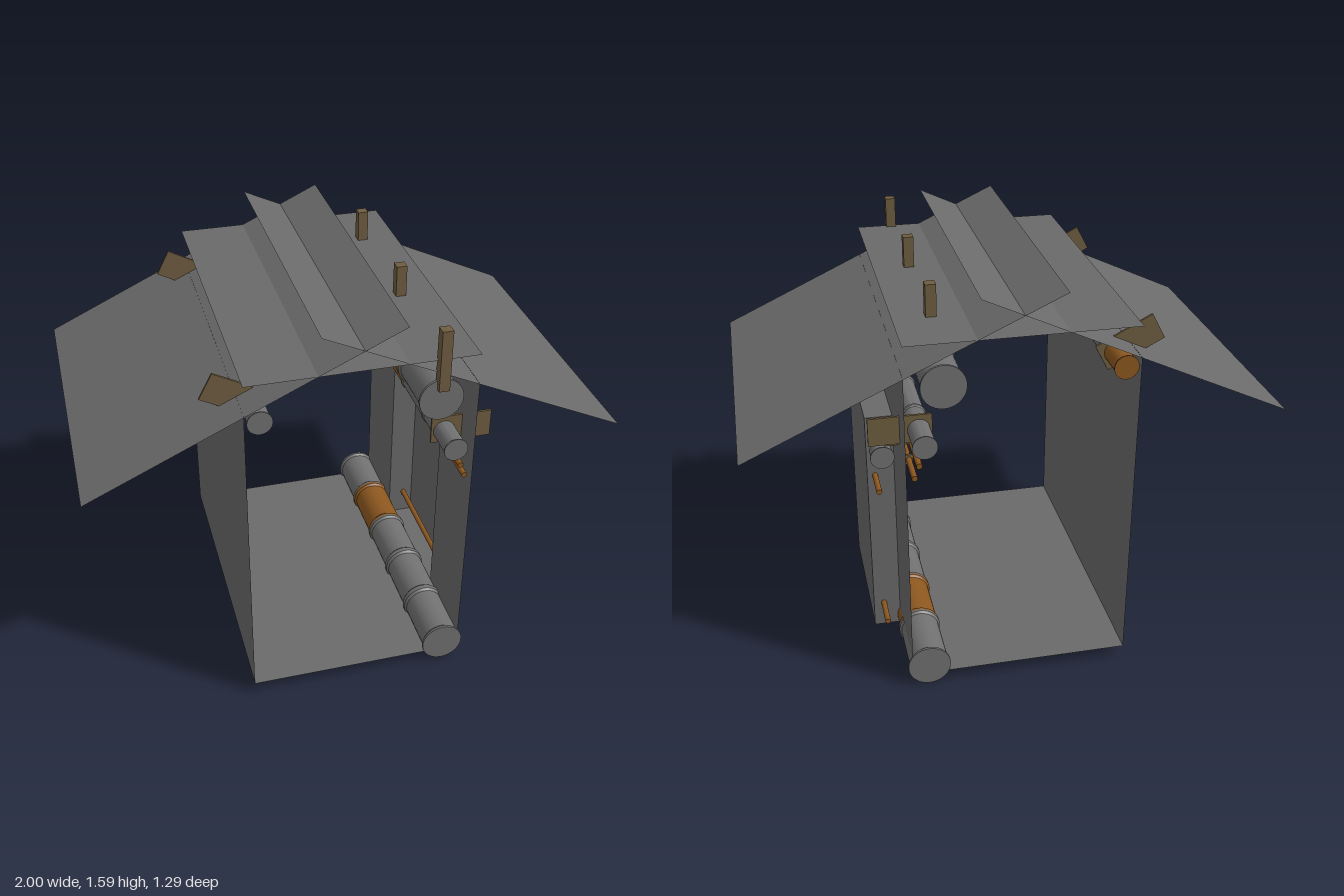
import * as THREE from 'three';
import { toCreasedNormals } from 'three/addons/utils/BufferGeometryUtils.js';

const Z0 = -0.645, Z1 = 0.625, MID = (Z0 + Z1) / 2, LEN = Z1 - Z0;

export function createModel() {
  const model = new THREE.Group();
  model.name = 'corridorSection';
  const make = (name, color) => {
    const m = new THREE.MeshStandardMaterial({ color });
    m.name = name;
    return m;
  };
  const panel = make('panelGrey', 0x6a6a6a);
  panel.side = THREE.DoubleSide;
  const metal = make('pipeGrey', 0x707070);
  const copper = make('copper', 0x8c571f);
  const brown = make('bracketBrown', 0x6f5d40);

  const add = (name, geo, mat, x = 0, y = 0, z = 0) => {
    const mesh = new THREE.Mesh(geo, mat);
    mesh.name = name;
    mesh.position.set(x, y, z);
    model.add(mesh);
    return mesh;
  };

  // Thin sheet: the line a-b in the xy plane swept along z
  const sheet = (name, [ax, ay], [bx, by], z0 = Z0, z1 = Z1) => {
    const g = new THREE.BufferGeometry();
    g.setAttribute('position', new THREE.Float32BufferAttribute(
      [ax, ay, z1, bx, by, z1, bx, by, z0, ax, ay, z0], 3));
    g.setIndex([0, 1, 2, 0, 2, 3]);
    g.computeVertexNormals();
    return add(name, g, panel);
  };

  // Shell: floor, ceiling, crossing roof sheets and the plain wall
  const W = 0.425, FLOOR = 0.05, EAVE = 1.323;
  sheet('floor', [-W, FLOOR], [W, FLOOR]);
  sheet('ceiling', [-W, 1.443], [W, 1.443]);
  sheet('rightRoof', [-1, 1.055], [0.153, 1.59]);
  sheet('leftRoof', [-0.153, 1.59], [1, 1.055]);
  sheet('rightWall', [-W, EAVE], [-W, FLOOR]);

  // Wall with an opening into the bay
  const B0 = -0.3, B1 = 0.285, BT = 1.01, BX = 0.53;
  const outline = [[Z0, FLOOR], [B0, FLOOR], [B0, BT], [B1, BT], [B1, FLOOR],
    [Z1, FLOOR], [Z1, EAVE], [Z0, EAVE]];
  const wallShape = new THREE.Shape(outline.map(([z, y]) => new THREE.Vector2(-z, y)));
  add('leftWall', new THREE.ShapeGeometry(wallShape).rotateY(Math.PI / 2), panel, W);

  // Bay recess
  sheet('bayBack', [BX, FLOOR], [BX, BT], B0, B1);
  sheet('bayTop', [BX, BT], [W, BT], B0, B1);
  sheet('bayBottom', [W, FLOOR], [BX, FLOOR], B0, B1);
  for (const z of [B0, B1]) {
    add('baySide', new THREE.PlaneGeometry(BX - W, BT - FLOOR), panel,
      (W + BX) / 2, (FLOOR + BT) / 2, z);
  }

  // Pipes made of flanged segments, running from front to back
  const segment = (R, len) => {
    const r = R * 0.91, f = R * 0.12;
    const pts = [[0, 0], [R, 0], [R, f], [r, f * 2], [r, len - f * 2],
      [R, len - f], [R, len], [0, len]].map(([a, b]) => new THREE.Vector2(a, b));
    return toCreasedNormals(new THREE.LatheGeometry(pts, 32), 0.5).rotateX(Math.PI / 2);
  };
  const pipe = (name, x, y, R, stops, coppers = []) => {
    for (let i = 0; i + 1 < stops.length; i++) {
      add(name, segment(R, stops[i] - stops[i + 1]),
        coppers.includes(i) ? copper : metal, x, y, stops[i + 1]);
    }
  };
  const five = [0, 1, 2, 3, 4, 5].map((i) => Z1 - i * LEN / 5);
  pipe('floorPipe', 0.36, 0.084, 0.083, five, [3]);
  pipe('roofPipe', 0.285, 1.28, 0.083, five);
  pipe('wallPipe', 0.355, 1.05, 0.046, five, [2]);
  pipe('eavePipe', -0.37, 1.29, 0.046, [Z1, 0.4, 0.25, 0.1, -0.04, -0.18, -0.46, Z0], [1, 3, 4, 6]);
  pipe('bayPipe', 0.475, 0.865, 0.046, [0.345, -0.36]);

  // Copper rods
  const rod = (x, y, z0, z1) => add('rod',
    new THREE.CylinderGeometry(0.011, 0.011, z1 - z0, 16).rotateX(Math.PI / 2),
    copper, x, y, (z0 + z1) / 2);
  rod(0.5, 0.76, -0.43, 0.415);
  rod(0.49, 0.157, -0.43, 0.415);
  rod(0.395, 0.93, Z0, Z1);
  rod(0.377, 0.978, Z0, Z1);

  // Bracket plates through walls and eaves
  const plate = (name, x, y, z, w, h) =>
    add(name, new THREE.BoxGeometry(w, h, 0.009), brown, x, y, z);
  for (const z of [0.487, -0.5]) {
    plate('wallBracket', 0.4225, 1.055, z, 0.235, 0.11);
    plate('eaveBracket', -0.425, 1.323, z - 0.004, 0.237, 0.109).rotation.z = -0.485;
    plate('rodClip', 0.4, 0.93, z, 0.04, 0.04);
  }
  plate('smallBracket', 0.42, 0.979, -0.435, 0.11, 0.04);

  // Hanger posts
  for (const z of [0.625, 0.12, -0.39]) {
    add('hangerPost', new THREE.BoxGeometry(0.04, 0.24, 0.04), brown, 0.285, 1.445, z);
  }
  return model;
}
